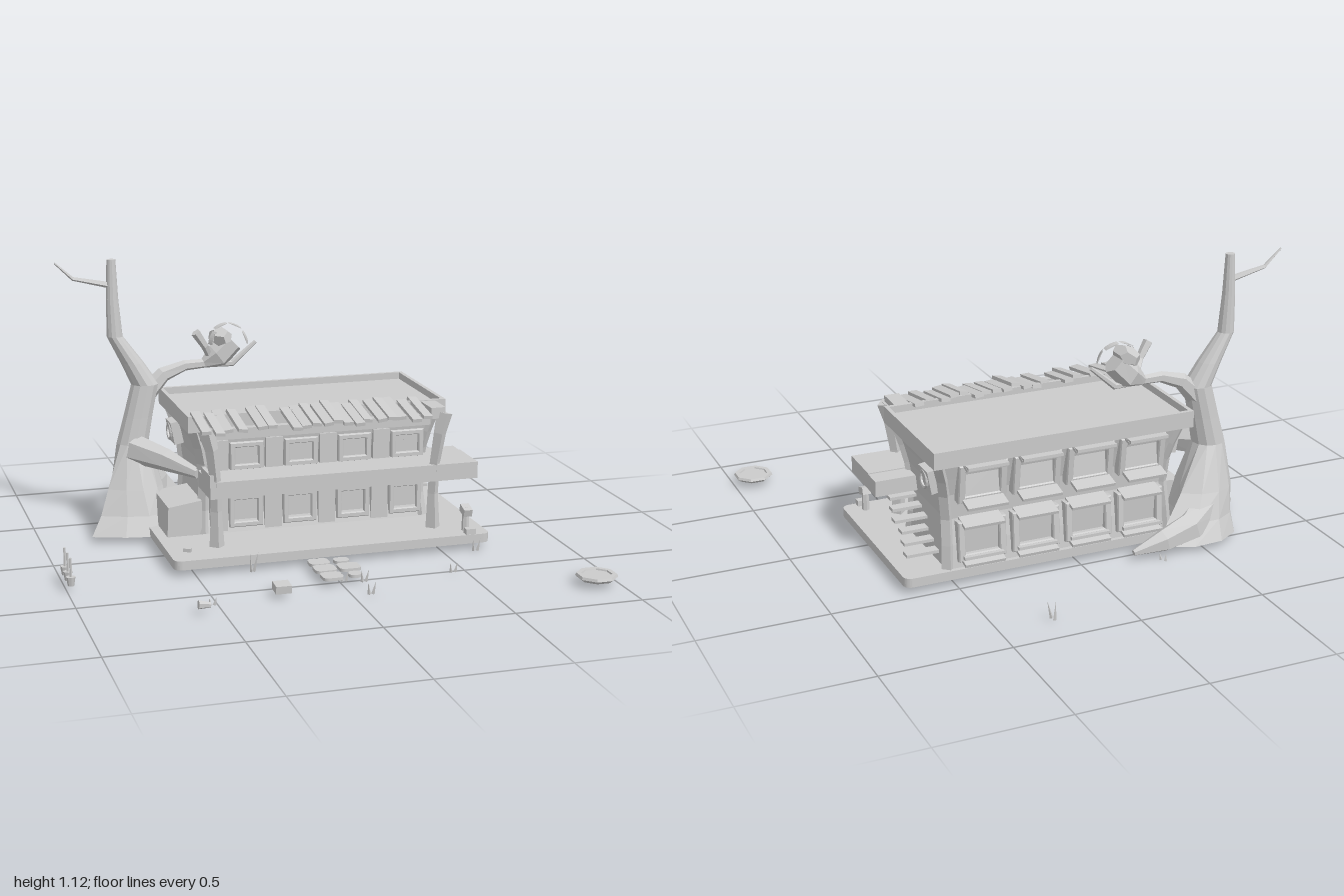
import * as THREE from 'three';

const mat = new THREE.MeshStandardMaterial({ color: 0xcccccc, flatShading: true, side: THREE.DoubleSide });
const V = (x, y, z) => new THREE.Vector3(x, y, z);

export function createModel() {
  const root = new THREE.Group();
  root.name = 'treeLodge';

  function add(name, geo, x = 0, y = 0, z = 0, rx = 0, ry = 0, rz = 0) {
    const m = new THREE.Mesh(geo, mat);
    m.name = name;
    m.position.set(x, y, z);
    m.rotation.set(rx, ry, rz);
    root.add(m);
    return m;
  }
  // box given by its min and max corners
  const span = (name, x0, x1, y0, y1, z0, z1) =>
    add(name, new THREE.BoxGeometry(x1 - x0, y1 - y0, z1 - z0), (x0 + x1) / 2, (y0 + y1) / 2, (z0 + z1) / 2);
  const box = (name, w, h, d, x, y, z, rx, ry, rz) => add(name, new THREE.BoxGeometry(w, h, d), x, y, z, rx, ry, rz);

  // closed skin over a stack of rings
  function loft(rings) {
    const pos = [], n = rings[0].length;
    const tri = (...p) => p.forEach(v => pos.push(v.x, v.y, v.z));
    for (let r = 0; r < rings.length - 1; r++) for (let i = 0; i < n; i++) {
      const j = (i + 1) % n, a = rings[r], b = rings[r + 1];
      tri(a[i], b[i], a[j]);
      tri(a[j], b[i], b[j]);
    }
    const lo = rings[0], hi = rings[rings.length - 1];
    for (let i = 1; i < n - 1; i++) {
      tri(lo[0], lo[i], lo[i + 1]);
      tri(hi[0], hi[i + 1], hi[i]);
    }
    const g = new THREE.BufferGeometry();
    g.setAttribute('position', new THREE.Float32BufferAttribute(pos, 3));
    g.computeVertexNormals();
    return g;
  }
  // tapered limb through points [x, y, z, radius]
  function limb(name, pts, sides = 6) {
    const p = pts.map(q => V(q[0], q[1], q[2]));
    return add(name, loft(p.map((c, i) => {
      const t = p[Math.min(i + 1, p.length - 1)].clone().sub(p[Math.max(i - 1, 0)]).normalize();
      const u = V(0, 0, 1).cross(t).normalize(), w = u.clone().cross(t);
      return Array.from({ length: sides }, (_, k) => {
        const a = k / sides * Math.PI * 2;
        return c.clone().addScaledVector(u, Math.cos(a) * pts[i][3]).addScaledVector(w, Math.sin(a) * pts[i][3]);
      });
    })));
  }
  // rounded flat plate lying on the ground
  function plate(name, x, z, w, d, r, y, h) {
    const s = new THREE.Shape(), a = w / 2 - r, b = d / 2 - r;
    s.absarc(a, b, r, 0, Math.PI / 2);
    s.absarc(-a, b, r, Math.PI / 2, Math.PI);
    s.absarc(-a, -b, r, Math.PI, Math.PI * 1.5);
    s.absarc(a, -b, r, Math.PI * 1.5, Math.PI * 2);
    const g = new THREE.ExtrudeGeometry(s, { depth: h, bevelEnabled: false, curveSegments: 4 });
    return add(name, g.rotateX(-Math.PI / 2), x, y, z);
  }
  // window frame with an opening, facing +z
  function frameGeo(w, h, t, d) {
    const s = new THREE.Shape([[-w, -h], [w, -h], [w, h], [-w, h]].map(p => new THREE.Vector2(p[0] / 2, p[1] / 2)));
    const a = w / 2 - t, b = h / 2 - t;
    s.holes.push(new THREE.Path([[-a, -b], [-a, b], [a, b], [a, -b]].map(p => new THREE.Vector2(...p))));
    return new THREE.ExtrudeGeometry(s, { depth: d, bevelThickness: 0.006, bevelSize: 0.004, bevelSegments: 1 });
  }

  // base slab and flared body
  plate('baseSlab', 0.06, -0.1, 1.28, 0.735, 0.03, 0.024, 0.036);
  const profile = [[0.06, 0.53, -0.035, -0.45], [0.15, 0.525, -0.06, -0.44], [0.25, 0.52, -0.062, -0.422],
    [0.35, 0.53, -0.045, -0.43], [0.42, 0.545, -0.03, -0.45], [0.5, 0.57, -0.015, -0.475]];
  add('walls', loft(profile.map(([y, x, f, b]) => [V(x, y, f), V(0.13 - x, y, f), V(0.13 - x, y, b), V(x, y, b)])));

  // flat roof with a parapet
  span('roofDeck', -0.455, 0.585, 0.495, 0.53, -0.5, 0.01);
  span('parapetFront', -0.465, 0.595, 0.492, 0.558, 0.004, 0.02);
  span('parapetBack', -0.465, 0.595, 0.492, 0.558, -0.508, -0.492);
  for (const x of [-0.465, 0.579]) span('parapetSide', x, x + 0.016, 0.492, 0.558, -0.492, 0.004);

  // front windows, curtains and pilasters
  for (const [y, h, z] of [[0.375, 0.105, -0.04], [0.145, 0.125, -0.058]]) for (let i = 0; i < 4; i++) {
    const x = -0.22 + i * 0.223;
    add('frontWindowFrame', frameGeo(0.13, h, 0.014, 0.02), x, y, z);
    box('frontWindowPane', 0.11, h, 0.01, x, y, z + 0.005);
    const c = new THREE.Shape([[-0.045, 0], [0.045, 0], [0, -0.035]].map(p => new THREE.Vector2(...p)));
    add('curtain', new THREE.ExtrudeGeometry(c, { depth: 0.01, bevelEnabled: false }), x, y + h / 2 - 0.014, z + 0.012);
    box('frontPilaster', 0.07, h + 0.03, 0.025, x - 0.111, y, z + 0.012);
  }
  span('frontCornice', -0.41, 0.54, 0.45, 0.492, -0.04, 0);

  // corner columns following the wall curve
  for (const side of [-1, 1]) for (const back of [0, 1])
    limb('cornerColumn', profile.map(([y, x, f, b]) => [0.065 + side * (x - 0.075), y, back ? b + 0.012 : f - 0.012, 0.026]), 4);

  // rear windows with tilted ledges
  for (let i = 0; i < 4; i++) for (const [y, h, tilt] of [[0.405, 0.15, -0.12], [0.165, 0.15, 0.06]]) {
    const x = -0.267 + i * 0.219, z = y > 0.3 ? -0.435 : -0.425;
    add('rearWindowFrame', frameGeo(0.185, h, 0.02, 0.035), x, y, z, tilt, Math.PI, 0);
    box('rearWindowPane', 0.16, h - 0.02, 0.02, x, y, z - 0.012, -tilt);
    const out = y > 0.3 ? 0.03 : 0.01;
    box('rearLedge', 0.162, 0.012, 0.08, x, y - h / 2, z - 0.02 - out, -0.25);
    box('rearHood', 0.162, 0.012, 0.07, x, y + h / 2, z - 0.02 - out, -0.25);
    span('rearShutterRail', x - 0.08, x + 0.08, y > 0.3 ? 0.475 : 0.1, y > 0.3 ? 0.487 : 0.112, z - 0.09 - (y > 0.3 ? 0.005 : -0.03), z);
  }

  // balcony around the front and the stair side
  span('balcony', -0.41, 0.69, 0.255, 0.322, -0.05, 0.145);
  span('balconyLanding', 0.5, 0.69, 0.255, 0.318, -0.13, -0.05);
  span('balconyEndPanel', -0.41, -0.395, 0.255, 0.35, 0, 0.145);

  // bent porch posts and beam
  for (const s of [-1, 1])
    limb('porchPost', [[0.06, 0.445, 0.122, 0.03], [0.2, 0.445, 0.118, 0.022], [0.33, 0.45, 0.125, 0.022],
      [0.45, 0.465, 0.135, 0.026], [0.53, 0.485, 0.13, 0.034]].map(([y, x, z, r]) => [0.065 + s * x, y, z, r]), 4);
  span('porchBeam', -0.44, 0.56, 0.51, 0.53, 0.11, 0.14);

  // uneven awning slats
  const slats = [-0.43, -0.38, -0.34, -0.29, -0.21, -0.165, -0.075, -0.03, 0.01, 0.05, 0.098, 0.135, 0.18, 0.22, 0.27, 0.315, 0.358, 0.41, 0.465];
  slats.forEach((x, i) => {
    const shift = 0.02 * Math.sin(i * 2.3);
    box('awningSlat', 0.037, 0.014, 0.2, x, 0.547 + 0.006 * Math.sin(i * 5.1), 0.085 + shift, 0.17, 0, 0.14 * Math.sin(i * 3.7));
  });
  span('awningTrim', 0.49, 0.55, 0.53, 0.555, 0.01, 0.14);

  // stairs on the side wall
  for (let i = 0; i < 6; i++)
    box('stairStep', 0.13 - (i % 3) * 0.012, 0.012, 0.042, 0.59, 0.1 + i * 0.03, -0.345 + i * 0.041);

  // round vents in square housings on both side walls
  for (const s of [-1, 1]) {
    box('ventHousing', 0.06, 0.092, 0.092, 0.065 + s * 0.485, 0.408, -0.37, 0, 0, -s * 0.18);
    add('ventRing', new THREE.TorusGeometry(0.032, 0.006, 5, 14), 0.065 + s * 0.518, 0.406, -0.37, 0, Math.PI / 2, 0);
  }
  // lean-to box beside the tree
  add('sideBox', loft([[0.06, -0.54], [0.18, -0.535]].map(([y, x], i) =>
    [V(-0.4, y + i * 0.02, -0.04), V(x, y, -0.04), V(x, y, -0.3), V(-0.4, y + i * 0.02, -0.3)])));

  // tree trunk with flared roots
  const flare = [0.12, 0.14, 0.18, 0.2, 0.21, 0.27, 0.13, 0.14, 0.17, 0.2, 0.24, 0.3];
  const trunk = [[0.024, -0.57, 1, 0], [0.1, -0.575, 0.72, 0.02], [0.2, -0.59, 0.35, 0.06], [0.37, -0.605, 0, 0.066], [0.48, -0.58, 0, 0.06],
    [0.61, -0.55, 0, 0.056], [0.7, -0.6, 0, 0.046], [0.81, -0.668, 0, 0.032], [0.96, -0.675, 0, 0.025], [1.12, -0.676, 0, 0.018]];
  add('treeTrunk', loft(trunk.map(([y, x, k, r]) => flare.map((f, i) => {
    const a = i * Math.PI / 6, d = f * k + r;
    return V(x + Math.cos(a) * d, y, -0.375 + Math.sin(a) * d);
  }))));
  limb('rearRoot', [[-0.58, 0.13, -0.44, 0.08], [-0.45, 0.08, -0.52, 0.06], [-0.33, 0.055, -0.54, 0.045], [-0.2, 0.03, -0.545, 0.012]]);
  limb('balconyRoot', [[-0.6, 0.35, -0.33, 0.06], [-0.5, 0.33, -0.2, 0.045], [-0.41, 0.305, -0.06, 0.02]]);
  limb('mainBranch', [[-0.56, 0.55, -0.38, 0.045], [-0.47, 0.64, -0.385, 0.032], [-0.38, 0.67, -0.39, 0.022], [-0.28, 0.672, -0.4, 0.018],
    [-0.18, 0.665, -0.4, 0.014], [-0.08, 0.75, -0.4, 0.008]]);
  limb('highTwig', [[-0.67, 1.015, -0.375, 0.014], [-0.83, 1.05, -0.375, 0.008], [-0.9, 1.115, -0.375, 0.004]], 5);
  limb('upTwig', [[-0.27, 0.69, -0.4, 0.012], [-0.3, 0.75, -0.37, 0.016], [-0.34, 0.81, -0.36, 0.02]], 5);

  // fan shaped foliage
  limb('foliageStem', [[-0.3, 0.67, -0.4, 0.02], [-0.24, 0.7, -0.4, 0.055], [-0.18, 0.76, -0.395, 0.05]]);
  for (let i = 0; i < 4; i++) {
    const s = new THREE.Shape();
    s.moveTo(0, 0);
    s.absarc(0, 0, 0.09, i * 0.78 + 0.06, i * 0.78 + 0.7);
    const g = new THREE.ExtrudeGeometry(s, { depth: 0.03, bevelEnabled: false, curveSegments: 3 });
    add('leafFan', g, -0.2, 0.745, -0.41, 0, i * 0.25 - 0.4, 0);
  }
  add('leafClump', new THREE.DodecahedronGeometry(0.085).scale(0.55, 0.45, 1), -0.29 + 0.06, 0.78, -0.395, 0, 0, 0.3);

  // stepping stones
  for (const [x, z, w, d] of [[-0.03, 0.325, 0.08, 0.07], [0.06, 0.325, 0.06, 0.05], [-0.03, 0.405, 0.085, 0.075],
    [0.065, 0.405, 0.085, 0.075], [-0.03, 0.493, 0.08, 0.075], [0.06, 0.495, 0.05, 0.05]])
    plate('steppingStone', x, z, w, d, 0.02, 0.018, 0.012);

  // octagonal stone basin
  add('basin', new THREE.LatheGeometry([[0, 0.02], [0.065, 0.02], [0.08, 0.032], [0.076, 0.042], [0.058, 0.042], [0.056, 0.036], [0, 0.036]]
    .map(p => new THREE.Vector2(...p)), 8), 0.915, 0, 0.79, 0, Math.PI / 8, 0);

  // garden stakes with cup bases
  for (const z of [0.185, 0.25, 0.315]) {
    add('stakeCup', new THREE.CylinderGeometry(0.018, 0.012, 0.035, 8), -0.985, 0.04, z);
    add('stakeRod', new THREE.CylinderGeometry(0.005, 0.005, 0.08, 5), -0.985, 0.09, z);
  }
  // small standpipe by the porch
  add('standpipe', new THREE.CylinderGeometry(0.012, 0.016, 0.1, 6), 0.62, 0.105, 0.2);
  box('standpipeHead', 0.035, 0.03, 0.05, 0.622, 0.142, 0.2, 0.3);
  box('standpipeFoot', 0.04, 0.025, 0.03, 0.62, 0.07, 0.25);

  // crate, rocks and grass tufts
  box('crate', 0.06, 0.03, 0.055, -0.25, 0.033, 0.582, 0.1);
  box('slabStone', 0.03, 0.015, 0.018, -0.505, 0.066, 0.155, 0, -0.6, 0);
  limb('log', [[-0.59, 0.035, 0.685, 0.017], [-0.545, 0.03, 0.685, 0.01]]);
  for (const [x, z, h] of [[0.28, -0.87, 0.07], [-0.31, -0.6, 0.03], [-0.29, 0.29, 0.08], [0.06, 0.66, 0.05], [0.44, 0.51, 0.04],
    [-0.53, 0.61, 0.03], [0.62, 0.29, 0.05], [0.01, 0.49, 0.04], [0.08, 0.52, 0.05]])
    for (const k of [0, 1])
      add('grassTuft', new THREE.ConeGeometry(0.007, h, 4), x + k * 0.018, h / 2 + k * 0.004, z + k * 0.012, 0.1, 0, k ? -0.2 : 0.1);

  return root;
}
